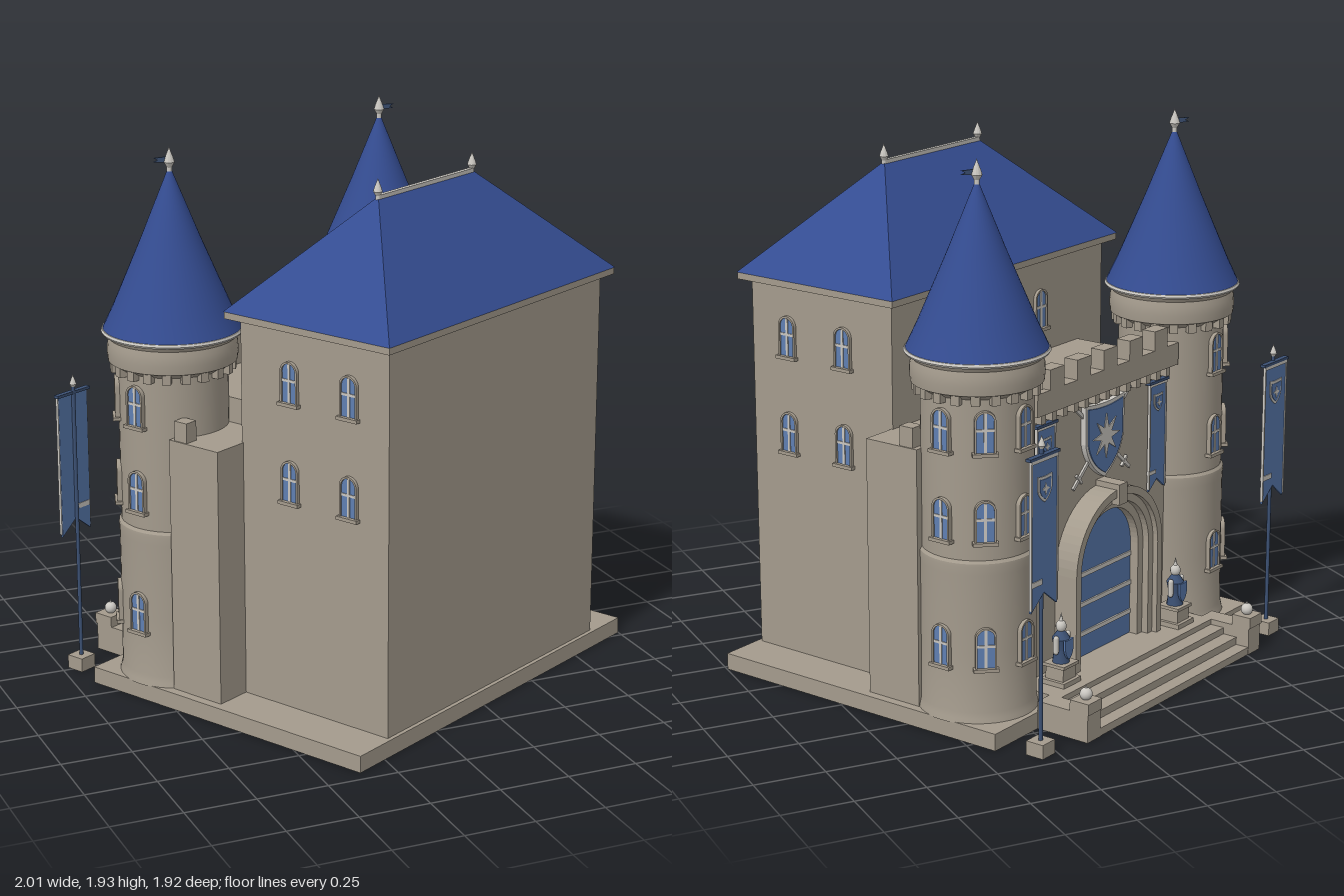
import * as THREE from 'three';
import { toCreasedNormals } from 'three/addons/utils/BufferGeometryUtils.js';

const paint = (name, color) => {
  const m = new THREE.MeshStandardMaterial({ color });
  m.name = name;
  return m;
};
const stone = paint('stone', 0xa49b8d);
const slate = paint('blue slate', 0x344c91);
const cloth = paint('blue cloth', 0x5676aa);
const glass = paint('window glass', 0x5f7fb2);
const silver = paint('pale trim', 0xcac7c1);
const iron = paint('dark blue iron', 0x3c5174);
const TURN = THREE.MathUtils.degToRad(208.1);

function add(parent, name, geo, mat, x = 0, y = 0, z = 0) {
  const m = new THREE.Mesh(geo, mat);
  m.name = name;
  m.position.set(x, y, z);
  parent.add(m);
  return m;
}
function group(parent, name, x = 0, y = 0, z = 0) {
  const g = new THREE.Group();
  g.name = name;
  g.position.set(x, y, z);
  parent.add(g);
  return g;
}
// Box given by its lower and upper corner
function block(parent, name, mat, x0, x1, y0, y1, z0, z1) {
  return add(parent, name, new THREE.BoxGeometry(x1 - x0, y1 - y0, z1 - z0), mat,
    (x0 + x1) / 2, (y0 + y1) / 2, (z0 + z1) / 2);
}
const lathe = (pts, n = 48) => toCreasedNormals(
  new THREE.LatheGeometry(pts.map(p => new THREE.Vector2(...p)), n), 0.45);
const plate = (shape, depth) =>
  new THREE.ExtrudeGeometry(shape, { depth, bevelEnabled: false, curveSegments: 14 });
function polygon(pts) {
  return new THREE.Shape(pts.map(p => new THREE.Vector2(...p)));
}

// Round-headed outline standing on y = base
function arch(w, h, base = 0, Kind = THREE.Shape) {
  const s = new Kind(), r = w / 2;
  s.moveTo(-r, base);
  s.lineTo(r, base);
  s.lineTo(r, h - r);
  s.absarc(0, h - r, r, 0, Math.PI, false);
  s.lineTo(-r, base);
  return s;
}
function archRing(w, h, border) {
  const s = arch(w + 2 * border, h + border);
  s.holes.push(arch(w, h, 0.001, THREE.Path));
  return s;
}
function shieldShape(w, h) {
  const s = new THREE.Shape();
  s.moveTo(-w / 2, h / 2);
  s.quadraticCurveTo(0, h * 0.42, w / 2, h / 2);
  s.lineTo(w / 2, 0);
  s.quadraticCurveTo(w * 0.42, -h * 0.32, 0, -h / 2);
  s.quadraticCurveTo(-w * 0.42, -h * 0.32, -w / 2, 0);
  s.closePath();
  return s;
}
function starShape(n, outer, inner) {
  return polygon(Array.from({ length: n * 2 }, (_, i) => {
    const a = i * Math.PI / n, r = i % 2 ? inner : outer;
    return [r * Math.sin(a), r * Math.cos(a)];
  }));
}

// Arched window facing local +z
function windowUnit(parent, x, y, z, turn) {
  const w = group(parent, 'window', x, y, z);
  w.rotation.y = turn;
  add(w, 'windowGlass', plate(arch(0.058, 0.137), 0.008), glass, 0, 0, -0.002);
  add(w, 'windowFrame', plate(archRing(0.058, 0.137, 0.007), 0.022), stone, 0, 0, -0.01);
  block(w, 'mullion', silver, -0.005, 0.005, 0, 0.135, 0, 0.009);
  block(w, 'glazingBar', silver, -0.029, 0.029, 0.074, 0.083, 0, 0.009);
  block(w, 'windowSill', stone, -0.043, 0.043, -0.01, 0.002, -0.01, 0.02);
}

function finial(parent, x, y, z, s = 1) {
  const pts = [[0, 0], [0.009, 0], [0.009, 0.014], [0.018, 0.03], [0.013, 0.046], [0.005, 0.066], [0, 0.08]];
  add(parent, 'finial', lathe(pts.map(p => [p[0] * s, p[1] * s]), 12), silver, x, y, z);
}

// Swallow-tailed banner hanging below y = 0
function banner(parent, x, y, z, w, h) {
  const b = group(parent, 'banner', x, y, z), r = w / 2;
  add(b, 'bannerCloth', plate(polygon([[-r, 0], [-r, -h], [0, -h + w * 0.4], [r, -h], [r, 0]]), 0.008), cloth);
  for (const k of [-1, 1]) block(b, 'bannerEdge', silver, k * r - 0.003, k * r + 0.003, -h + 0.01, 0, 0.001, 0.011);
  block(b, 'bannerHem', silver, -r, r, -0.012, 0, 0.002, 0.011);
  block(b, 'bannerBand', silver, -r, -r * 0.2, -h + w * 0.62, -h + w * 0.75, -0.002, 0.011);
  add(b, 'emblemEdge', plate(shieldShape(w * 0.55, w * 0.65), 0.003), silver, 0, -w * 0.75, 0.008);
  add(b, 'emblemField', plate(shieldShape(w * 0.42, w * 0.5), 0.003), cloth, 0, -w * 0.75, 0.01);
  add(b, 'emblemStar', plate(starShape(4, w * 0.15, w * 0.06), 0.003), silver, 0, -w * 0.75, 0.012);
}

function tower(parent, side) {
  const t = group(parent, 'tower', side * 0.573, 0, 0.306);
  add(t, 'towerWall', lathe([[0, 0.058], [0.207, 0.058], [0.203, 0.075], [0.198, 0.095], [0.197, 0.3], [0.197, 0.58],
    [0.199, 0.61], [0.198, 0.62], [0.19, 0.63], [0.19, 1.18], [0.212, 1.195], [0.222, 1.2],
    [0.225, 1.23], [0.223, 1.26], [0.218, 1.28], [0.228, 1.298], [0, 1.298]]), stone);
  for (let i = 0; i < 20; i++) {
    const a = i * Math.PI / 10;
    add(t, 'corbel', new THREE.BoxGeometry(0.03, 0.036, 0.034), stone,
      0.199 * Math.sin(a), 1.182, 0.199 * Math.cos(a)).rotation.y = a;
  }
  add(t, 'eaveRing', lathe([[0.2, 1.296], [0.24, 1.296], [0.244, 1.303], [0.24, 1.311], [0.23, 1.312]]), silver);
  add(t, 'towerRoof', lathe([[0, 1.305], [0.238, 1.309], [0.2, 1.39], [0.1, 1.625], [0.006, 1.858], [0, 1.86]]), slate);
  finial(t, 0, 1.85, 0, 1.05);
  // Small vane streaming outwards
  const vane = add(t, 'weatherVane', plate(polygon([[0, 1.88], [0.055, 1.884], [0.04, 1.89], [0.055, 1.898], [0, 1.9]]), 0.006), iron);
  vane.rotation.y = -TURN + (side > 0 ? Math.PI : 0);
  // Three window columns turning from the front to the outer flank
  for (const a of [0, Math.PI / 4, Math.PI / 2])
    for (const [y, r] of [[1.0, 0.191], [0.695, 0.191], [0.255, 0.197]])
      windowUnit(t, side * r * Math.sin(a), y, r * Math.cos(a), side * a);
}

function statue(parent, side) {
  const s = group(parent, 'guardian', side * 0.35, 0.06, 0.49);
  s.scale.y = 1.15;
  block(s, 'pedestalFoot', stone, -0.05, 0.05, 0, 0.05, -0.05, 0.05);
  block(s, 'pedestal', stone, -0.037, 0.037, 0.05, 0.09, -0.037, 0.037);
  block(s, 'pedestalCap', stone, -0.044, 0.044, 0.09, 0.1, -0.044, 0.044);
  add(s, 'guardianBody', lathe([[0, 0.1], [0.03, 0.1], [0.024, 0.14], [0.032, 0.175], [0.012, 0.2], [0, 0.2]], 14), iron);
  add(s, 'guardianHead', new THREE.SphereGeometry(0.019, 12, 10), silver, 0, 0.212, 0);
  add(s, 'helmetPlume', new THREE.ConeGeometry(0.009, 0.03, 8), silver, 0, 0.24, 0);
  for (const k of [-1, 1]) add(s, 'guardianArm', new THREE.CapsuleGeometry(0.01, 0.04, 4, 8), silver, k * 0.034, 0.16, 0.004);
  add(s, 'guardianShield', plate(shieldShape(0.046, 0.064), 0.008), cloth, 0, 0.145, 0.028);
}

export function createModel() {
  const model = new THREE.Group();
  model.name = 'castle';
  // Built with the gate facing local +z, then turned into place
  const c = group(model, 'castleBody');
  c.rotation.y = TURN;

  // Base slab with round openings under the towers
  const slab = polygon([[-0.773, -0.53], [0.773, -0.53], [0.773, 0.67], [-0.773, 0.67]]);
  for (const k of [-1, 1]) slab.holes.push(new THREE.Path().absarc(k * 0.573, -0.306, 0.197, 0, Math.PI * 2, true));
  add(c, 'baseSlab', plate(slab, 0.06), stone).rotation.x = -Math.PI / 2;

  // Keep with hipped roof
  block(c, 'keep', stone, -0.607, 0.607, 0.06, 1.41, -0.655, -0.03);
  block(c, 'eaveSlab', stone, -0.648, 0.648, 1.405, 1.43, -0.685, 0.007);
  const hip = new THREE.BoxGeometry(1.3, 0.366, 0.696), p = hip.attributes.position;
  for (let i = 0; i < p.count; i++)
    if (p.getY(i) > 0) p.setXYZ(i, Math.sign(p.getX(i)) * 0.266, p.getY(i), Math.sign(p.getZ(i)) * 0.004);
  hip.computeVertexNormals();
  add(c, 'keepRoof', hip, slate, 0, 1.612, -0.339);
  block(c, 'ridgeTrim', silver, -0.266, 0.266, 1.788, 1.805, -0.347, -0.331);
  for (const k of [-1, 1]) {
    finial(c, k * 0.264, 1.79, -0.339, 0.9);
    for (const z of [-0.493, -0.243])
      for (const y of [0.805, 1.15]) windowUnit(c, k * 0.607, y, z, k * Math.PI / 2);
  }
  for (const x of [-0.225, 0, 0.225]) windowUnit(c, x, 1.15, -0.03, 0);

  // Gatehouse block and battlements
  block(c, 'gatehouse', stone, -0.46, 0.46, 0.06, 1.06, -0.04, 0.4);
  block(c, 'parapet', stone, -0.42, 0.42, 1.05, 1.13, 0.385, 0.44);
  for (let i = -2; i <= 2; i++) block(c, 'merlon', stone, i * 0.155 - 0.04, i * 0.155 + 0.04, 1.13, 1.2, 0.385, 0.44);
  for (let i = -6; i <= 6; i++) block(c, 'parapetCorbel', stone, i * 0.062 - 0.012, i * 0.062 + 0.012, 1.015, 1.05, 0.39, 0.43);

  // Gate with stepped arch
  const g = group(c, 'gate', 0, 0.085, 0.4);
  add(g, 'door', plate(arch(0.35, 0.535), 0.012), cloth);
  for (const [w, h, b, d] of [[0.35, 0.535, 0.03, 0.045], [0.41, 0.565, 0.028, 0.07], [0.466, 0.593, 0.028, 0.09]])
    add(g, 'archRing', plate(archRing(w, h, b), d), stone);
  block(g, 'keystone', stone, -0.025, 0.025, 0.565, 0.64, 0, 0.1);
  for (const y of [0.1, 0.21, 0.32]) block(g, 'doorStrap', silver, -0.172, 0.172, y - 0.008, y + 0.008, 0.01, 0.018);

  // Arms above the gate
  const arms = group(c, 'coatOfArms', 0, 0.875, 0.4);
  for (const k of [-1, 1]) {
    const sword = group(arms, 'sword', 0, 0, 0.006);
    sword.rotation.z = k * 0.85;
    block(sword, 'blade', silver, -0.006, 0.006, -0.225, 0.225, -0.004, 0.004);
    block(sword, 'swordGuard', silver, -0.022, 0.022, -0.185, -0.176, -0.004, 0.006);
  }
  add(arms, 'shieldEdge', plate(shieldShape(0.23, 0.28), 0.02), silver);
  add(arms, 'shieldField', plate(shieldShape(0.205, 0.25), 0.006), cloth, 0, 0, 0.018);
  add(arms, 'shieldStar', plate(starShape(8, 0.08, 0.032), 0.005), silver, 0, 0.01, 0.023);

  // Open-backed flight of steps with a landing before the gate
  for (const [y0, y1, z0, z1] of [[0, 0.028, 0.68, 0.735], [0.028, 0.056, 0.625, 0.685], [0.056, 0.08, 0.57, 0.63], [0.06, 0.1, 0.4, 0.575]])
    block(c, 'step', stone, -0.47, 0.47, y0, y1, z0, z1);

  // Mirrored parts on both flanks
  for (const k of [-1, 1]) {
    tower(c, k);
    statue(c, k);
    const side = (name, a, b, ...r) => block(c, name, stone, Math.min(k * a, k * b), Math.max(k * a, k * b), ...r);
    side('sideWing', 0.44, 0.74, 0.06, 0.97, -0.036, 0.18);
    side('wingMerlon', 0.685, 0.735, 0.97, 1.04, 0.105, 0.16);
    side('stepCheek', 0.462, 0.537, 0, 0.1, 0.53, 0.737);
    side('stepPost', 0.462, 0.54, 0.1, 0.14, 0.665, 0.742);
    finial(c, k * 0.5, 0.135, 0.703, 0.7);
    add(c, 'postBall', new THREE.SphereGeometry(0.022, 16, 12), silver, k * 0.5, 0.158, 0.703);
    banner(c, k * 0.335, 1.0, 0.405, 0.1, 0.4);
    block(c, 'bannerRod', iron, k * 0.335 - 0.06, k * 0.335 + 0.06, 0.998, 1.008, 0.4, 0.42);

    // Free-standing flagpole
    const f = group(c, 'flagpole', k * 0.7, 0, 0.663);
    block(f, 'poleBase', stone, -0.034, 0.034, 0, 0.05, -0.034, 0.034);
    add(f, 'pole', new THREE.CylinderGeometry(0.007, 0.007, 1.02, 12), iron, 0, 0.55, 0);
    block(f, 'crossbar', iron, -0.08, 0.08, 1.03, 1.04, -0.004, 0.016);
    finial(f, 0, 1.045, 0, 0.7);
    banner(f, 0, 1.03, 0.004, 0.14, 0.515);
  }
  return model;
}
